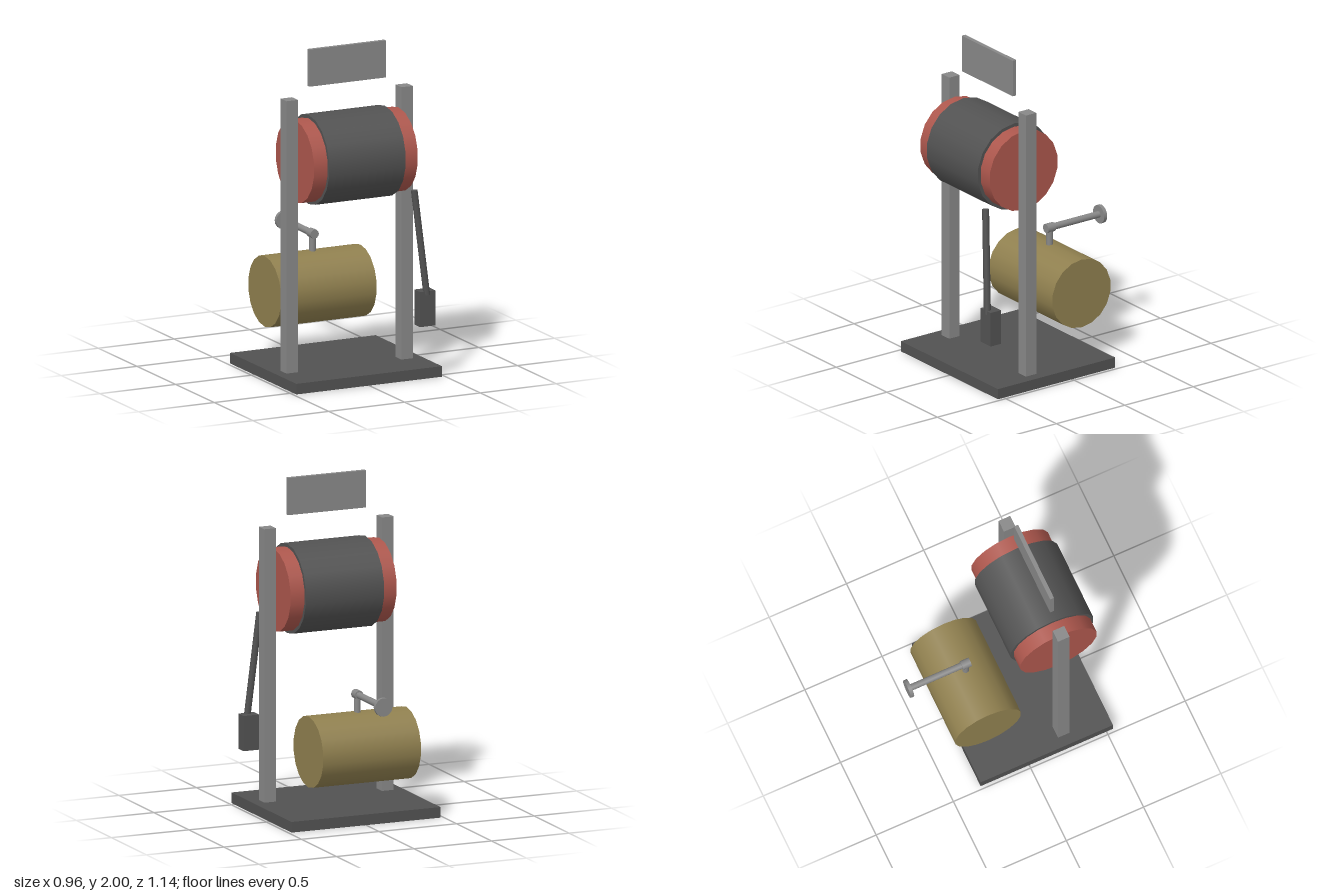
import * as THREE from 'three';

const mat = (name, color) => {
  const m = new THREE.MeshStandardMaterial({ color });
  m.name = name;
  return m;
};

export function createModel() {
  const grey = mat('grey metal', 0x888888);
  const dark = mat('dark grey', 0x525252);
  const red = mat('red', 0xad574d);
  const tan = mat('tan', 0x90804f);

  const model = new THREE.Group();
  const add = (name, geometry, material, x, y, z) => {
    const mesh = new THREE.Mesh(geometry, material);
    mesh.name = name;
    mesh.position.set(x, y, z);
    model.add(mesh);
    return mesh;
  };
  const box = (w, h, d) => new THREE.BoxGeometry(w, h, d);
  // 18-sided drum lying along x, with a corner at the top
  const drum = (r, length) =>
    new THREE.CylinderGeometry(r, r, length, 18, 1, false, Math.PI / 2).rotateZ(Math.PI / 2);
  // round bar lying along z
  const barZ = (r, length, sides) =>
    new THREE.CylinderGeometry(r, r, length, sides).rotateX(Math.PI / 2);

  const frameZ = 0.253;

  // Stand
  add('base', box(0.96, 0.064, 0.857), dark, 0, 0.032, 0.114);
  for (const side of [-1, 1]) {
    add(side > 0 ? 'leftPost' : 'rightPost', box(0.075, 1.648, 0.075), grey,
      side * 0.379, 0.888, frameZ);
  }
  add('signPlate', box(0.504, 0.224, 0.025), grey, 0, 1.888, frameZ);

  // Upper drum and its dark sleeve
  add('upperDrum', drum(0.25, 0.684), red, 0, 1.333, frameZ);
  add('drumSleeve', drum(0.27, 0.504), dark, 0, 1.333, frameZ);

  // Lower tank with its pipe, collar and end flange
  const tankZ = -0.19;
  const pipeY = 0.762;
  add('tank', drum(0.214, 0.63), tan, 0, 0.445, tankZ);
  add('verticalPipe', new THREE.CylinderGeometry(0.02, 0.02, 0.12, 12), grey, 0, 0.7, tankZ);
  add('pipeCollar', barZ(0.028, 0.056, 12), grey, 0, pipeY, tankZ);
  add('horizontalPipe', barZ(0.02, 0.36, 12), grey, 0, pipeY, -0.37);
  add('pipeFlange', barZ(0.056, 0.022, 16), grey, 0, pipeY, -0.559);

  // Leaning lever and its grip block
  add('leverBlock', box(0.1, 0.212, 0.075), dark, 0.379, 0.426, 0.52);
  const top = new THREE.Vector3(0.314, 1.14, 0.51);
  const bottom = new THREE.Vector3(0.379, 0.508, 0.545);
  const axis = top.clone().sub(bottom);
  const mid = top.clone().add(bottom).multiplyScalar(0.5);
  const lever = add('lever', new THREE.CylinderGeometry(0.021, 0.021, axis.length(), 8),
    dark, mid.x, mid.y, mid.z);
  lever.quaternion.setFromUnitVectors(new THREE.Vector3(0, 1, 0), axis.normalize());

  return model;
}
